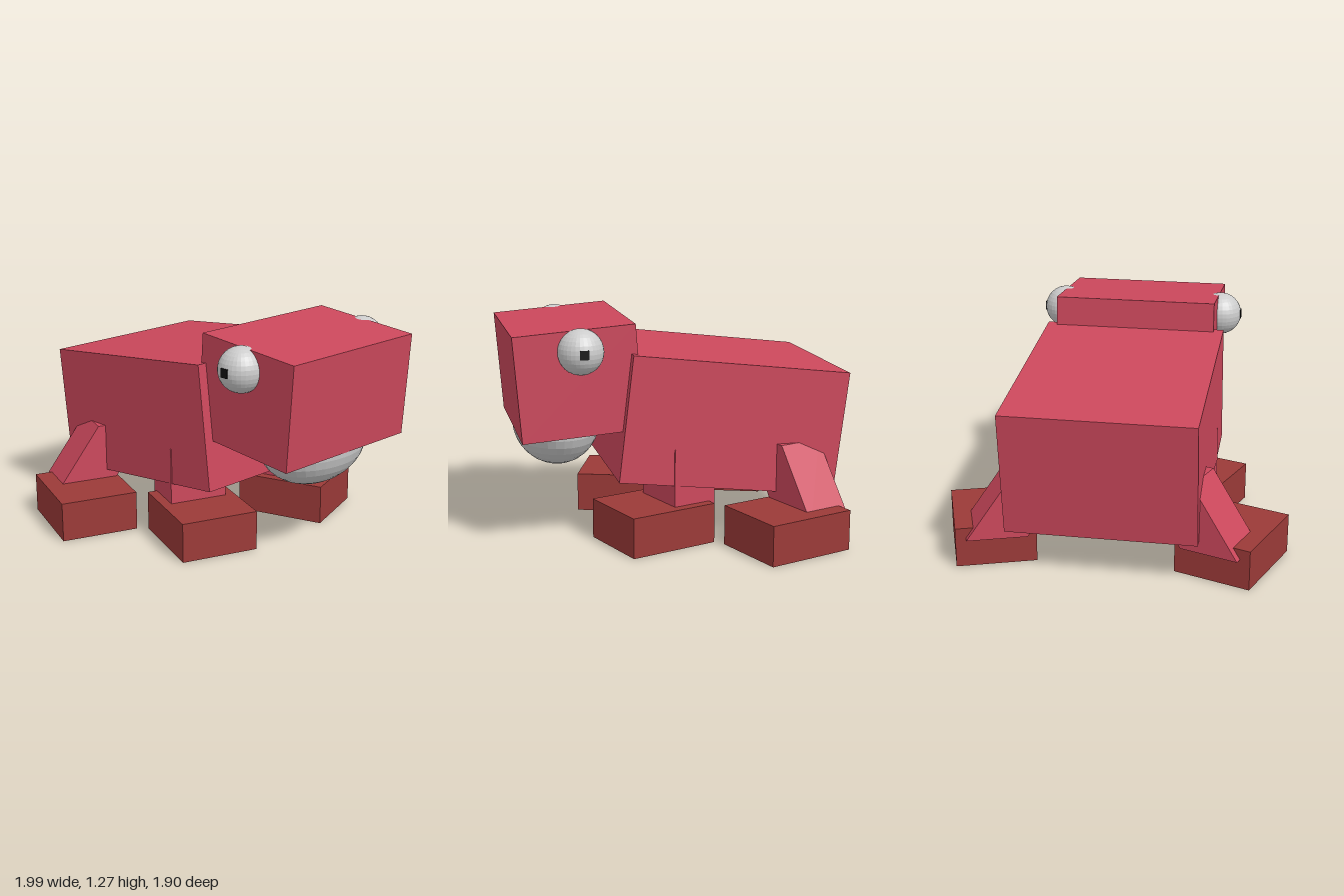
import * as THREE from 'three';

const mat = (color) => new THREE.MeshStandardMaterial({ color, flatShading: true });
const skin = mat(0xcc485c);
const footRed = mat(0x9b3a38);
const grey = mat(0xcccccc);
const black = mat(0x111111);

const MID = -0.005; // the head and limbs mirror about this x
const SPLAY = 0.34; // outward turn of the legs and feet

export function createModel() {
  const model = new THREE.Group();
  model.name = 'creature';

  const add = (name, geometry, material, x, y, z) => {
    const mesh = new THREE.Mesh(geometry, material);
    mesh.name = name;
    mesh.position.set(x, y, z);
    model.add(mesh);
    return mesh;
  };

  // Body slopes down to the rear, head tips forward
  add('body', new THREE.BoxGeometry(1.07, 0.716, 1.26), skin, MID, 0.67, -0.28).rotation.x = -0.12;
  add('head', new THREE.BoxGeometry(0.955, 0.592, 0.677), skin, MID, 0.945, 0.595).rotation.x = 0.075;

  // Wide rounded chin
  const chin = new THREE.SphereGeometry(0.25, 32, 16);
  chin.scale(1.42, 1, 1);
  add('chin', chin, grey, MID, 0.645, 0.66);

  // A leg box; lean shifts its foot end outward
  const legGeometry = (lean) => {
    const geometry = new THREE.BoxGeometry(0.34, 0.39, 0.268);
    const p = geometry.attributes.position;
    for (let i = 0; i < p.count; i++) p.setX(i, p.getX(i) - lean * p.getY(i));
    geometry.computeVertexNormals();
    return geometry;
  };

  for (const [side, s] of [['left', 1], ['right', -1]]) {
    // Eyes with small square pupils
    add(side + 'Eye', new THREE.SphereGeometry(0.127, 32, 16), grey, MID + s * 0.487, 1.125, 0.585);
    add(side + 'Pupil', new THREE.BoxGeometry(0.04, 0.05, 0.05), black, MID + s * 0.595, 1.127, 0.585);

    // Front legs stand upright, rear legs lean outward
    for (const [end, lean, lx, lz, fx, fz] of [
      ['Front', 0, 0.335, 0.003, 0.393, 0.165],
      ['Rear', 0.71, 0.502, -0.651, 0.692, -0.535],
    ]) {
      add(side + end + 'Leg', legGeometry(s * lean), skin, MID + s * lx, 0.365, lz).rotation.y = s * SPLAY;
      add(side + end + 'Foot', new THREE.BoxGeometry(0.453, 0.23, 0.535), footRed, MID + s * fx, 0.115, fz)
        .rotation.y = s * SPLAY;
    }
  }
  return model;
}
